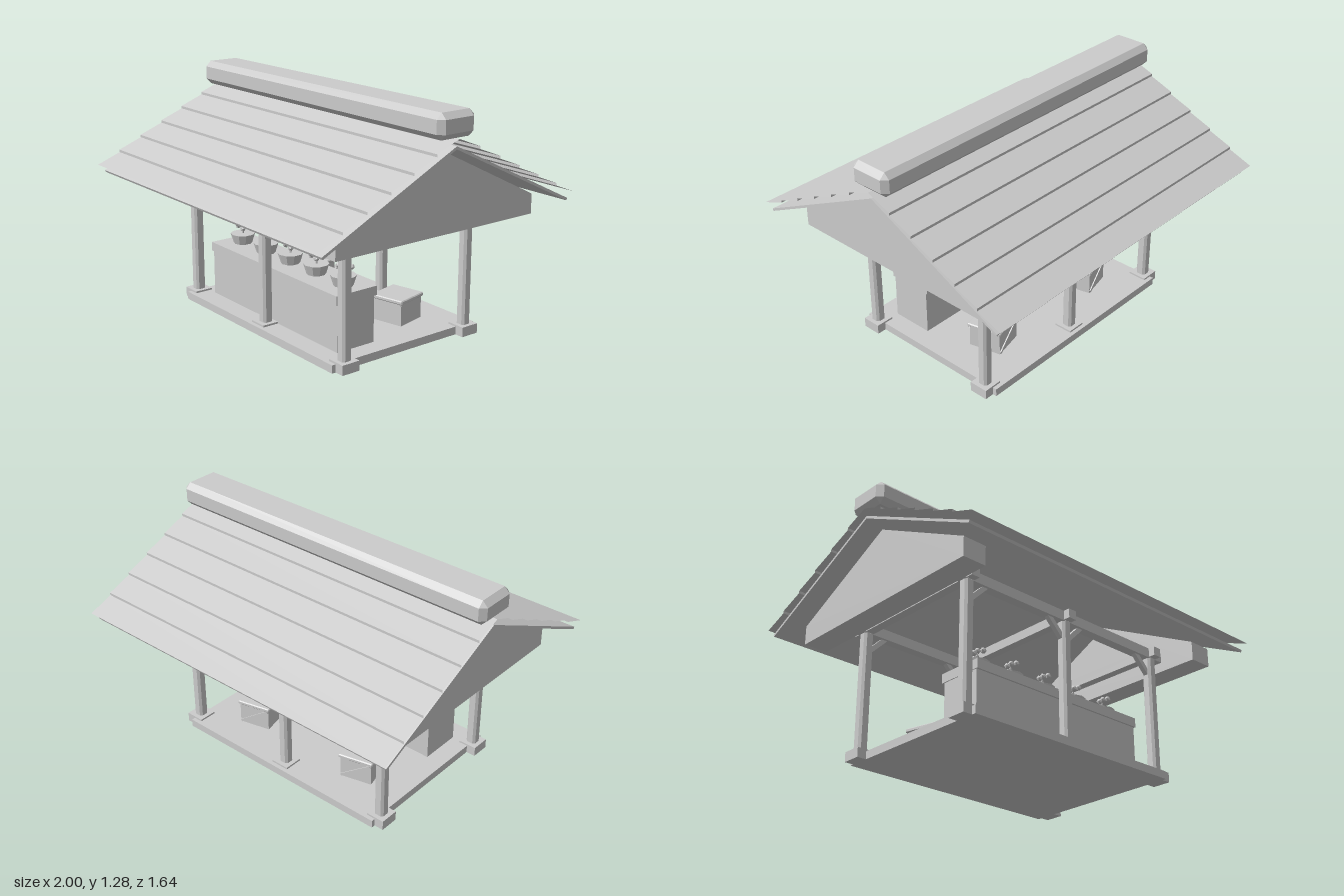
import * as THREE from 'three';
import { ConvexGeometry } from 'three/addons/geometries/ConvexGeometry.js';

const mat = new THREE.MeshStandardMaterial({ color: 0xcccccc, flatShading: true });
const sheetMat = new THREE.MeshStandardMaterial({ color: 0xcccccc, flatShading: true, side: THREE.DoubleSide });

function add(parent, name, geo, x = 0, y = 0, z = 0, material = mat) {
  const mesh = new THREE.Mesh(geo, material);
  mesh.name = name;
  mesh.position.set(x, y, z);
  parent.add(mesh);
  return mesh;
}

const box = (w, h, d) => new THREE.BoxGeometry(w, h, d);

// Box with all edges chamfered by b
function chamferBox(w, h, d, b) {
  const pts = [];
  for (const sx of [-1, 1]) for (const sy of [-1, 1]) for (const sz of [-1, 1])
    for (let k = 0; k < 3; k++)
      pts.push(new THREE.Vector3(
        sx * (w / 2 - (k === 0 ? 0 : b)),
        sy * (h / 2 - (k === 1 ? 0 : b)),
        sz * (d / 2 - (k === 2 ? 0 : b))));
  return new ConvexGeometry(pts);
}

// Stepped sheet of overlapping boards, running down from the ridge towards +z
function boardSheet(rows, run, drop, riser) {
  const profile = [];
  for (let i = 0; i < rows; i++) {
    profile.push([i * run, -i * drop]);
    profile.push([(i + 1) * run, -(i + 1) * drop + riser]);
  }
  const pos = [];
  for (let i = 0; i < profile.length - 1; i++) {
    const [z0, y0] = profile[i], [z1, y1] = profile[i + 1];
    pos.push(-1, y0, z0, -1, y1, z1, 1, y1, z1);
    pos.push(-1, y0, z0, 1, y1, z1, 1, y0, z0);
  }
  const geo = new THREE.BufferGeometry();
  geo.setAttribute('position', new THREE.Float32BufferAttribute(pos, 3));
  geo.computeVertexNormals();
  return geo;
}

function addFrame(root) {
  const frame = new THREE.Group();
  frame.name = 'timberFrame';
  root.add(frame);
  const postGeo = chamferBox(0.057, 0.69, 0.057, 0.012);
  for (const z of [-0.4, 0.4]) {
    for (const x of [-0.66, 0, 0.66]) {
      add(frame, 'post', postGeo, x, 0.375, z);
      add(frame, 'postBase', box(0.105, 0.053, 0.105), x, 0.0265, z);
      // Diagonal braces towards the neighbouring posts
      for (const s of [-1, 1]) {
        if (Math.abs(x + s * 0.1) > 0.66) continue;
        const brace = add(frame, 'brace', box(0.15, 0.026, 0.026), x + s * 0.068, 0.667, z);
        brace.rotation.z = s * Math.PI / 4;
      }
    }
    add(frame, 'longBeam', box(1.47, 0.055, 0.055), 0, 0.733, z);
  }
  for (const x of [-0.66, 0, 0.66])
    add(frame, 'crossBeam', box(0.05, 0.05, 0.93), x, 0.735, 0);
}

function addRoof(root) {
  const roof = new THREE.Group();
  roof.name = 'roof';
  root.add(roof);
  // Solid gable ends
  const shape = new THREE.Shape([[-0.635, 0.66], [0.635, 0.66], [0.635, 0.765], [0, 1.08], [-0.635, 0.765]]
    .map(([a, b]) => new THREE.Vector2(a, b)));
  const gable = new THREE.ExtrudeGeometry(shape, { depth: 0.135, bevelEnabled: false });
  gable.translate(0, 0, -0.0675).rotateY(Math.PI / 2);
  for (const s of [-1, 1]) add(roof, 'gable', gable, s * 0.817);
  // Thin folded roof deck
  const deckShape = new THREE.Shape([[0, 1.118], [0.79, 0.738], [0.784, 0.726], [0, 1.103], [-0.784, 0.726], [-0.79, 0.738]]
    .map(([a, b]) => new THREE.Vector2(a, b)));
  const deck = new THREE.ExtrudeGeometry(deckShape, { depth: 1.97, bevelEnabled: false });
  deck.translate(0, 0, -0.985).rotateY(Math.PI / 2);
  add(roof, 'roofDeck', deck);
  // Overlapping boards on both slopes
  const boards = boardSheet(6, 0.137, 0.0665, 0.014);
  for (const turn of [0, Math.PI])
    add(roof, 'roofBoards', boards, 0, 1.155, 0, sheetMat).rotation.y = turn;
  add(roof, 'ridgeCap', chamferBox(2, 0.13, 0.236, 0.03), 0, 1.219, 0);
}

function addCounter(root) {
  const counter = new THREE.Group();
  counter.name = 'counter';
  root.add(counter);
  add(counter, 'counterBody', box(1.11, 0.255, 0.235), 0, 0.17, 0.2425);
  add(counter, 'counterTop', box(1.12, 0.05, 0.26), 0, 0.318, 0.24);
  // Row of potted plants
  const leaves = [[-0.028, 0.437, 0.01, 0.017], [-0.005, 0.422, -0.005, 0.018], [-0.014, 0.45, 0.022, 0.016],
    [0.01, 0.443, -0.02, 0.017], [0.025, 0.465, 0.02, 0.017], [0.028, 0.44, -0.03, 0.016]];
  for (let i = -2; i <= 2; i++) {
    const plant = new THREE.Group();
    plant.name = 'pottedPlant';
    plant.position.set(i * 0.224, 0, 0.236);
    counter.add(plant);
    add(plant, 'pot', new THREE.CylinderGeometry(0.068, 0.051, 0.055, 10), 0, 0.37, 0);
    add(plant, 'stem', new THREE.CylinderGeometry(0.005, 0.006, 0.05, 5), 0, 0.415, 0);
    for (const [x, y, z, r] of leaves)
      add(plant, 'leaf', new THREE.IcosahedronGeometry(r, 0), x, y, z);
  }
}

function addCrate(root, x) {
  const crate = new THREE.Group();
  crate.name = 'crate';
  crate.position.set(x, 0.043, -0.19);
  crate.rotation.y = 0.23;
  root.add(crate);
  add(crate, 'crateBody', box(0.18, 0.125, 0.18), 0, 0.0625, 0);
  add(crate, 'crateLid', chamferBox(0.2, 0.022, 0.2, 0.005), 0, 0.131, 0);
  // Diagonal slat on two faces
  for (const s of [-1, 1])
    add(crate, 'crateSlat', box(0.2, 0.016, 0.01), 0, 0.061, s * 0.091).rotation.z = s * 0.57;
}

export function createModel() {
  const root = new THREE.Group();
  root.name = 'marketShelter';
  add(root, 'floor', box(1.32, 0.043, 0.95), 0, 0.0215, 0);
  addFrame(root);
  addRoof(root);
  addCounter(root);
  for (const x of [-0.365, 0.375]) addCrate(root, x);
  return root;
}
